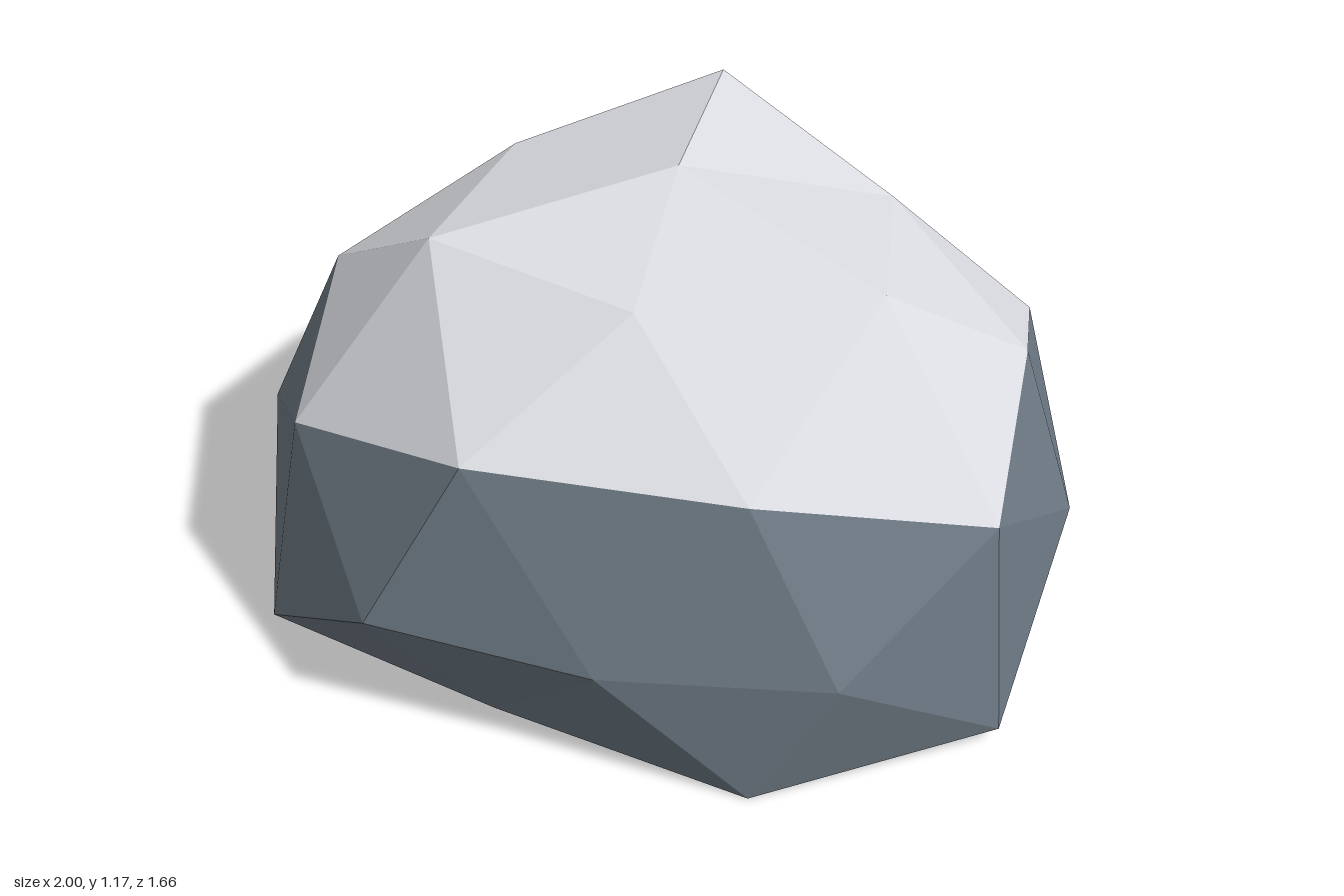
import * as THREE from 'three';

// Points of the boulder that are pushed off the regular squashed sphere
const NUDGES = [
  // crown
  [0.04, 1.15, -0.49], [0.56, 1.075, 0.27], [-0.47, 1.07, 0.27], [-0.42, 1.02, -0.25],
  [0.04, 1.06, 0.435], [0.5, 1.0, -0.25],
  // edge of the snow
  [0.86, 0.79, 0], [-0.8, 0.8, 0], [0.86, 0.62, 0.44], [-0.77, 0.62, 0.43],
  [0.835, 0.615, -0.43], [-0.8, 0.61, -0.45], [0.35, 0.78, 0.69], [-0.28, 0.79, 0.71],
  [0.34, 0.77, -0.68], [-0.3, 0.82, -0.76],
  // waist
  [-1, 0.35, 0], [0.57, 0.35, 0.75], [-0.51, 0.35, 0.77], [0.6, 0.35, -0.78],
  // foot
  [0.91, 0.05, 0.47], [-0.86, 0.05, 0.48], [0.84, 0.095, -0.41], [-0.845, 0.07, -0.48],
  [0.91, 0, 0], [-0.74, 0, 0], [0.38, 0, 0.77], [-0.26, 0, 0.62], [0.4, 0, -0.65],
  [-0.3, 0, -0.78], [0.58, 0, 0.2], [-0.44, 0, 0.31], [0.62, 0, -0.37], [-0.45, 0, -0.33],
].map((p) => new THREE.Vector3(...p));

// Move a sphere point onto the squashed, flat-footed, irregular boulder
function shapePoint(p) {
  p.set(0.04 + p.x * 0.96, Math.max(0, 0.35 + p.y * 0.82), p.z * 0.83);
  let best = null, bestDist = 0.2;
  for (const n of NUDGES) {
    const d = n.distanceTo(p);
    if (d < bestDist) { best = n; bestDist = d; }
  }
  return best ? best.clone() : p;
}

// Snow lies on the high faces, except on the steep side and back walls
function isSnow(face) {
  const high = face.every((p) => p.y > 0.55);
  const sideWall = face.every((p) => Math.abs(p.x) > 0.7);
  const backWall = face.every((p) => p.z < -0.45);
  return high && !sideWall && !backWall;
}

function facesToMesh(faces, material, name) {
  const geometry = new THREE.BufferGeometry().setFromPoints(faces.flat());
  geometry.computeVertexNormals();
  const mesh = new THREE.Mesh(geometry, material);
  mesh.name = name;
  return mesh;
}

export function createModel() {
  const options = { flatShading: true, side: THREE.DoubleSide };
  const stone = new THREE.MeshStandardMaterial({ color: 0x6e7a85, ...options });
  stone.name = 'stone';
  const snow = new THREE.MeshStandardMaterial({ color: 0xdcdee3, ...options });
  snow.name = 'snow';

  const sphere = new THREE.IcosahedronGeometry(1, 1).rotateY(Math.PI / 2);
  const position = sphere.getAttribute('position');
  const stoneFaces = [], snowFaces = [];
  for (let i = 0; i < position.count; i += 3) {
    const face = [0, 1, 2].map((k) =>
      shapePoint(new THREE.Vector3().fromBufferAttribute(position, i + k)));
    // the flat underside stays open
    if (face.every((p) => p.y < 0.01)) continue;
    (isSnow(face) ? snowFaces : stoneFaces).push(face);
  }

  const group = new THREE.Group();
  group.name = 'snowyBoulder';
  group.add(facesToMesh(stoneFaces, stone, 'boulder'));
  group.add(facesToMesh(snowFaces, snow, 'snowCap'));
  return group;
}
